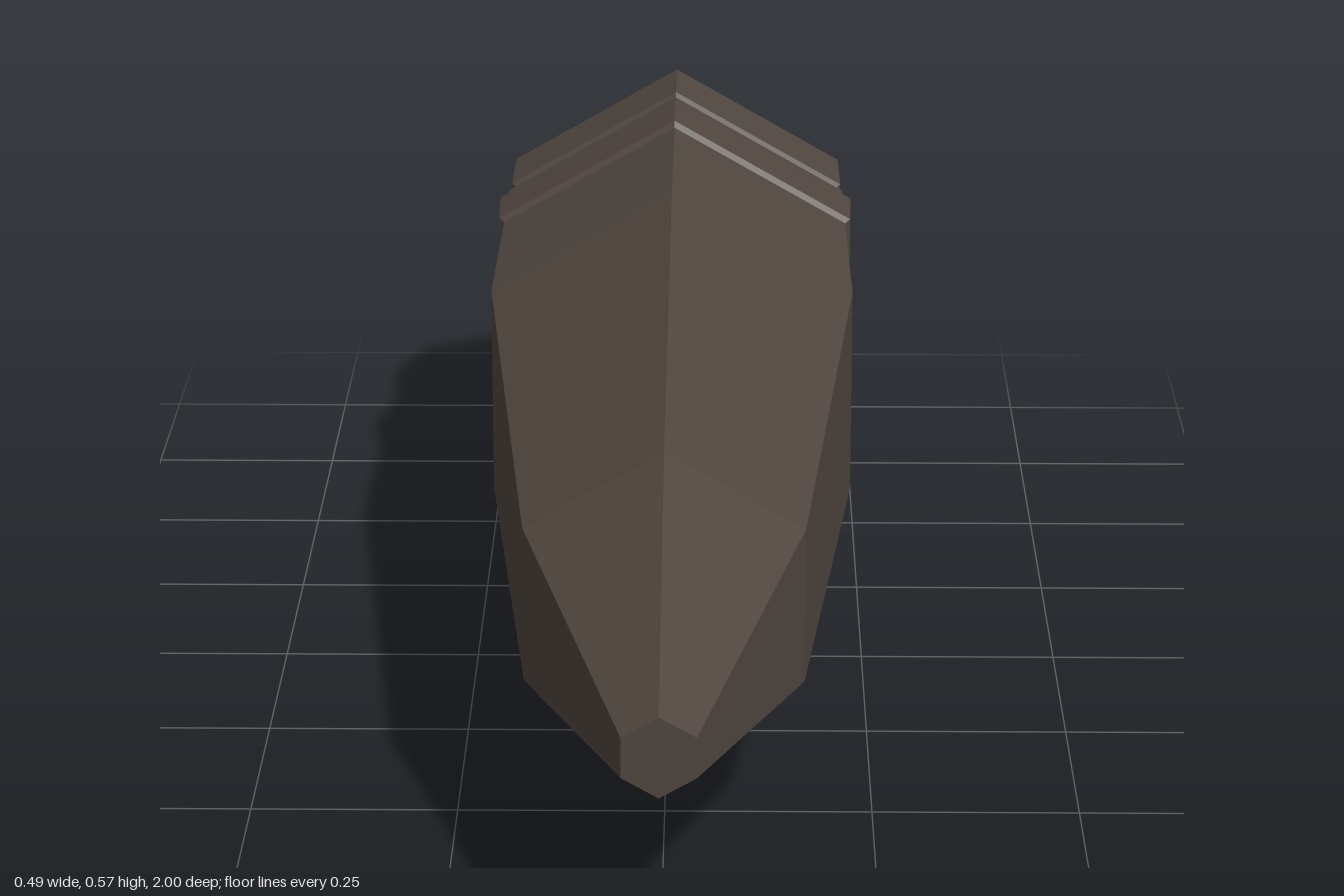
import * as THREE from 'three';

const SIDES = 6;
const AXIS_HEIGHT = 0.287;

export function createModel() {
  const group = new THREE.Group();
  group.name = 'hexagonalProjectile';
  const material = new THREE.MeshStandardMaterial({ color: 0x50463f, flatShading: true });
  material.name = 'darkBrownMetal';

  // Six-sided section lying along z; profile is [radius, z] from back to front
  function section(name, profile) {
    const points = profile.map(([r, z]) => new THREE.Vector2(r, z));
    const geometry = new THREE.LatheGeometry(points, SIDES);
    geometry.rotateX(Math.PI / 2);
    const mesh = new THREE.Mesh(geometry, material);
    mesh.name = name;
    mesh.position.y = AXIS_HEIGHT;
    group.add(mesh);
  }

  // Tapered tail with a flat closed end
  section('tail', [[0, -1], [0.234, -1], [0.269, -0.885], [0.27, -0.757]]);
  // Narrow groove in front of the tail
  section('groove', [[0.27, -0.757], [0.258, -0.745], [0.258, -0.735], [0.272, -0.722]]);
  // Plain collar between groove and band
  section('collar', [[0.272, -0.722], [0.273, -0.67]]);
  // Raised band with a small chamfer
  section('raisedBand', [[0.273, -0.67], [0.284, -0.662], [0.284, -0.652], [0.281, -0.567], [0.273, -0.56]]);
  // Long body that narrows forward
  section('body', [[0.273, -0.56], [0.276, -0.24], [0.192, 0.545]]);
  // Steeper nose with a small flat tip
  section('nose', [[0.192, 0.545], [0.048, 1], [0, 1]]);

  return group;
}
